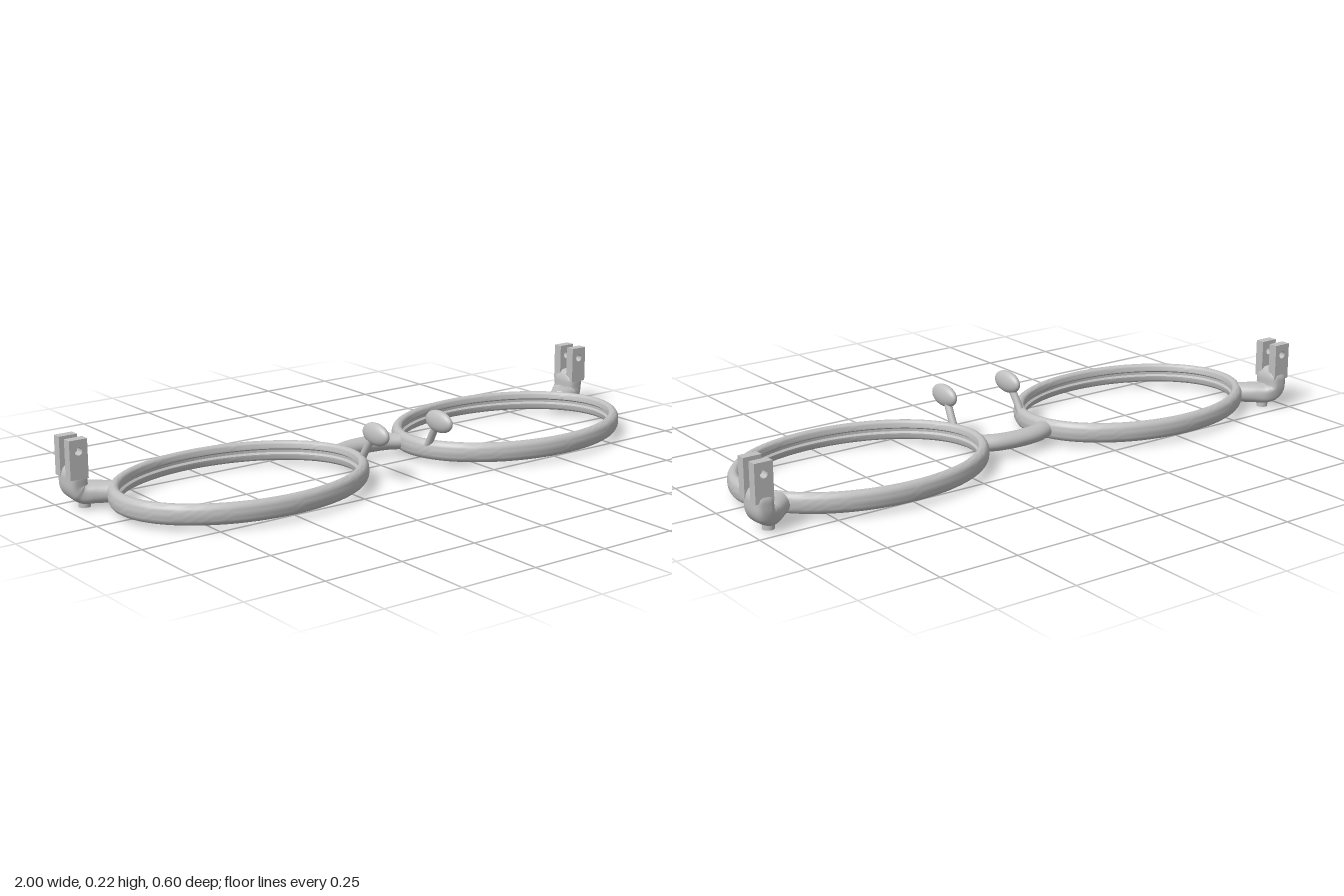
import * as THREE from 'three';
import { toCreasedNormals } from 'three/addons/utils/BufferGeometryUtils.js';

const V = (x, y, z) => new THREE.Vector3(x, y, z);

// Skin a list of equal-length rings, each running counter-clockwise about the direction of travel
function skin(rings, closed) {
  const n = rings[0].length, m = rings.length, index = [];
  for (let i = 0; i < (closed ? m : m - 1); i++) {
    for (let j = 0; j < n; j++) {
      const k = (j + 1) % n, next = (i + 1) % m;
      const a = i * n + j, b = i * n + k, c = next * n + k, d = next * n + j;
      index.push(a, b, d, b, c, d);
    }
  }
  const geo = new THREE.BufferGeometry().setFromPoints(rings.flat());
  geo.setIndex(index);
  geo.computeVertexNormals();
  return geo;
}

// Ring at p with half axes along u and t x u; power 1 is an ellipse, lower is squarer
function ring(p, t, u, ru, rv, power = 1, n = 32) {
  const side = u.clone().addScaledVector(t, -u.dot(t)).normalize();
  const up = t.clone().cross(side);
  const bend = (v) => Math.sign(v) * Math.abs(v) ** power;
  return Array.from({ length: n }, (_, j) => {
    const a = (j / n) * Math.PI * 2;
    return p.clone().addScaledVector(side, ru * bend(Math.cos(a))).addScaledVector(up, rv * bend(Math.sin(a)));
  });
}

// Oval rim: rounded outside, lens groove inside
function rimGeometry(cx) {
  const a = 0.415, b = 0.3, mid = 0.046, seg = 128;
  // half profile: inset from the outer edge, height above the middle
  const half = [[0.0, 0.006], [0.001, 0.014], [0.004, 0.021], [0.008, 0.0265], [0.013, 0.03], [0.019, 0.0315],
    [0.025, 0.0305], [0.03, 0.027], [0.033, 0.022], [0.034, 0.016], [0.034, 0.009], [0.027, 0.004]];
  const profile = [...half, ...half.map(([d, y]) => [d, -y]).reverse()];
  const rings = [];
  for (let i = 0; i < seg; i++) {
    const q = (i / seg) * Math.PI * 2, c = Math.cos(q), s = Math.sin(q);
    const out = V(b * c, 0, a * s).normalize();
    rings.push(profile.map(([d, y]) => V(cx + a * c - out.x * d, mid + y, b * s - out.z * d)));
  }
  return toCreasedNormals(skin(rings, true), 0.75);
}

// Arm stub that leaves the rim, then turns upward into a rounded knuckle
function endPieceGeometry(s) {
  const path = new THREE.CatmullRomCurve3([
    V(s * 0.872, 0.046, -0.135), V(s * 0.91, 0.046, -0.163), V(s * 0.945, 0.047, -0.185),
    V(s * 0.964, 0.064, -0.193), V(s * 0.967, 0.095, -0.193), V(s * 0.966, 0.135, -0.192)]);
  const rings = [], steps = 40;
  for (let i = 0; i <= steps; i++) {
    const k = i / steps, t = path.getTangent(k);
    const u = V(s * 0.6 * Math.max(0, 1 - k * 1.7), 0, 1).normalize();
    const dome = k > 0.8 ? Math.sqrt(Math.max(0.001, 1 - ((k - 0.8) / 0.2) ** 2)) : 1;
    const blend = Math.min(1, k * 2);
    const w = THREE.MathUtils.lerp(0.036, 0.048, blend);
    rings.push(ring(path.getPoint(k), t, u, w * dome, 0.032 * dome, 1 - 0.4 * blend));
  }
  return skin(rings, false);
}

// Upright hinge leaf with a screw hole
function leafGeometry() {
  const shape = new THREE.Shape();
  shape.moveTo(-0.029, 0.097).lineTo(0.029, 0.097).lineTo(0.029, 0.215).lineTo(-0.029, 0.215).closePath();
  shape.holes.push(new THREE.Path().absarc(0, 0.18, 0.012, 0, Math.PI * 2, true));
  return new THREE.ExtrudeGeometry(shape, { depth: 0.03, bevelEnabled: false, curveSegments: 16 });
}

export function createModel() {
  const model = new THREE.Group();
  model.name = 'spectacleFrame';
  const metal = new THREE.MeshStandardMaterial({ color: 0xc0c0c0 });
  metal.name = 'lightGreyMetal';
  const add = (name, geo, x = 0, y = 0, z = 0) => {
    const mesh = new THREE.Mesh(geo, metal);
    mesh.name = name;
    mesh.position.set(x, y, z);
    model.add(mesh);
    return mesh;
  };

  // Bridge bowed toward the back
  const bow = new THREE.CatmullRomCurve3([V(-0.128, 0.046, -0.055), V(-0.075, 0.046, -0.079),
    V(0, 0.046, -0.088), V(0.075, 0.046, -0.079), V(0.128, 0.046, -0.055)]);
  const bridgeRings = [];
  for (let i = 0; i <= 24; i++) {
    const t = bow.getTangent(i / 24);
    bridgeRings.push(ring(bow.getPoint(i / 24), t, V(0, 0, 1), 0.032, 0.026));
  }
  add('bridge', skin(bridgeRings, false));

  for (const s of [1, -1]) {
    const side = s > 0 ? 'left' : 'right';
    add(side + 'Rim', rimGeometry(s * 0.517));

    // Nose pad on a bent stem
    const stem = new THREE.CatmullRomCurve3([V(s * 0.128, 0.055, 0.07),
      V(s * 0.128, 0.085, 0.088), V(s * 0.123, 0.145, 0.124)]);
    add(side + 'PadStem', new THREE.TubeGeometry(stem, 12, 0.012, 12));
    add(side + 'NosePad', new THREE.SphereGeometry(1, 32, 20), s * 0.122, 0.151, 0.136)
      .scale.set(0.021, 0.035, 0.061);

    // Hinge
    add(side + 'EndPiece', endPieceGeometry(s));
    for (const [part, z] of [['Front', -0.175], ['Back', -0.236]]) {
      add(side + part + 'HingeLeaf', leafGeometry(), s * 0.971, 0, z);
    }
    add(side + 'Screw', new THREE.CylinderGeometry(0.018, 0.018, 0.04, 20), s * 0.937, 0.02, -0.187);
  }
  return model;
}
